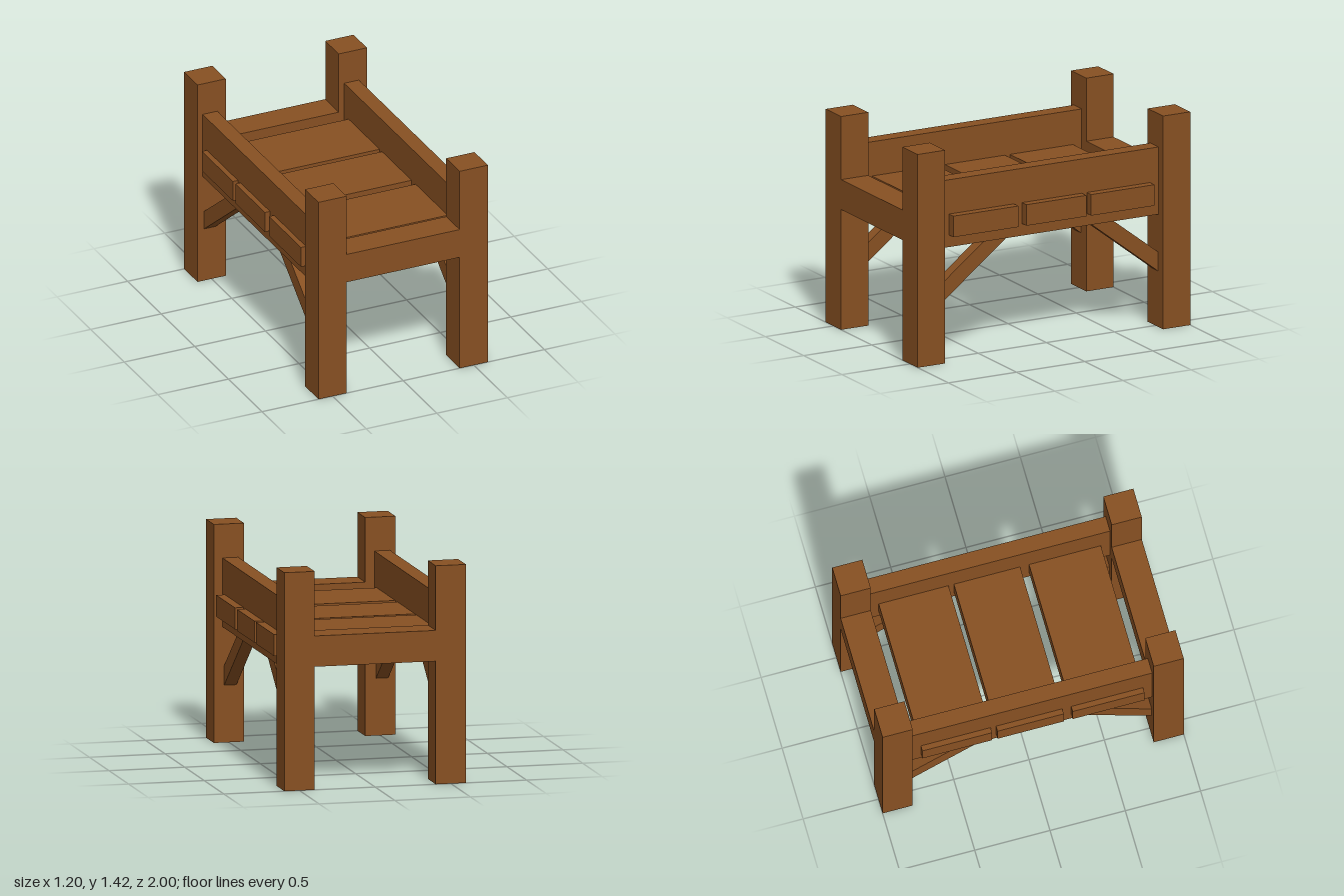
import * as THREE from 'three';

const wood = new THREE.MeshStandardMaterial({ color: 0x875022, side: THREE.DoubleSide });
wood.name = 'brown wood';

// Box given by its minimum and maximum corners
function block(name, [x0, y0, z0], [x1, y1, z1]) {
  const geometry = new THREE.BoxGeometry(x1 - x0, y1 - y0, z1 - z0);
  geometry.translate((x0 + x1) / 2, (y0 + y1) / 2, (z0 + z1) / 2);
  const mesh = new THREE.Mesh(geometry, wood);
  mesh.name = name;
  return mesh;
}

// Hollow post with no bottom face
function post(sx, sz) {
  const mesh = block('cornerPost', [sx * 0.5 - 0.1, 0, sz * 0.9 - 0.1], [sx * 0.5 + 0.1, 1.42, sz * 0.9 + 0.1]);
  const index = Array.from(mesh.geometry.index.array);
  index.splice(18, 6);
  mesh.geometry.setIndex(index);
  mesh.geometry.clearGroups();
  return mesh;
}

// Diagonal strut between a post and the underside of a rail
function brace(x, sz) {
  const width = 0.082;
  const shape = new THREE.Shape([[0.8, 0.372], [0.8, 0.5], [0.476, 0.75], [0.313, 0.75]]
    .map(([z, y]) => new THREE.Vector2(-z * sz, y)));
  const geometry = new THREE.ExtrudeGeometry(shape, { depth: width, bevelEnabled: false });
  geometry.translate(0, 0, -width / 2);
  geometry.rotateY(Math.PI / 2);
  geometry.translate(x, 0, 0);
  const mesh = new THREE.Mesh(geometry, wood);
  mesh.name = 'brace';
  return mesh;
}

export function createModel() {
  const model = new THREE.Group();
  model.name = 'woodenBed';

  // Corner posts and end beams
  for (const sz of [-1, 1]) {
    for (const sx of [-1, 1]) model.add(post(sx, sz));
    model.add(block('endBeam', [-0.4, 0.8, sz * 0.9 - 0.1], [0.4, 1, sz * 0.9 + 0.1]));
  }

  // Side rails with their braces, slightly off centre
  for (const x of [-0.512, 0.491]) {
    model.add(block('sideRail', [x - 0.052, 0.752, -0.8], [x + 0.052, 1.2, 0.8]));
    for (const sz of [-1, 1]) model.add(brace(x, sz));
  }

  // Wide planks passing through the rails
  for (const [z0, z1] of [[-0.736, -0.273], [-0.237, 0.203], [0.262, 0.739]]) {
    model.add(block('plank', [-0.6, 0.832, z0], [0.6, 0.972, z1]));
  }
  return model;
}
